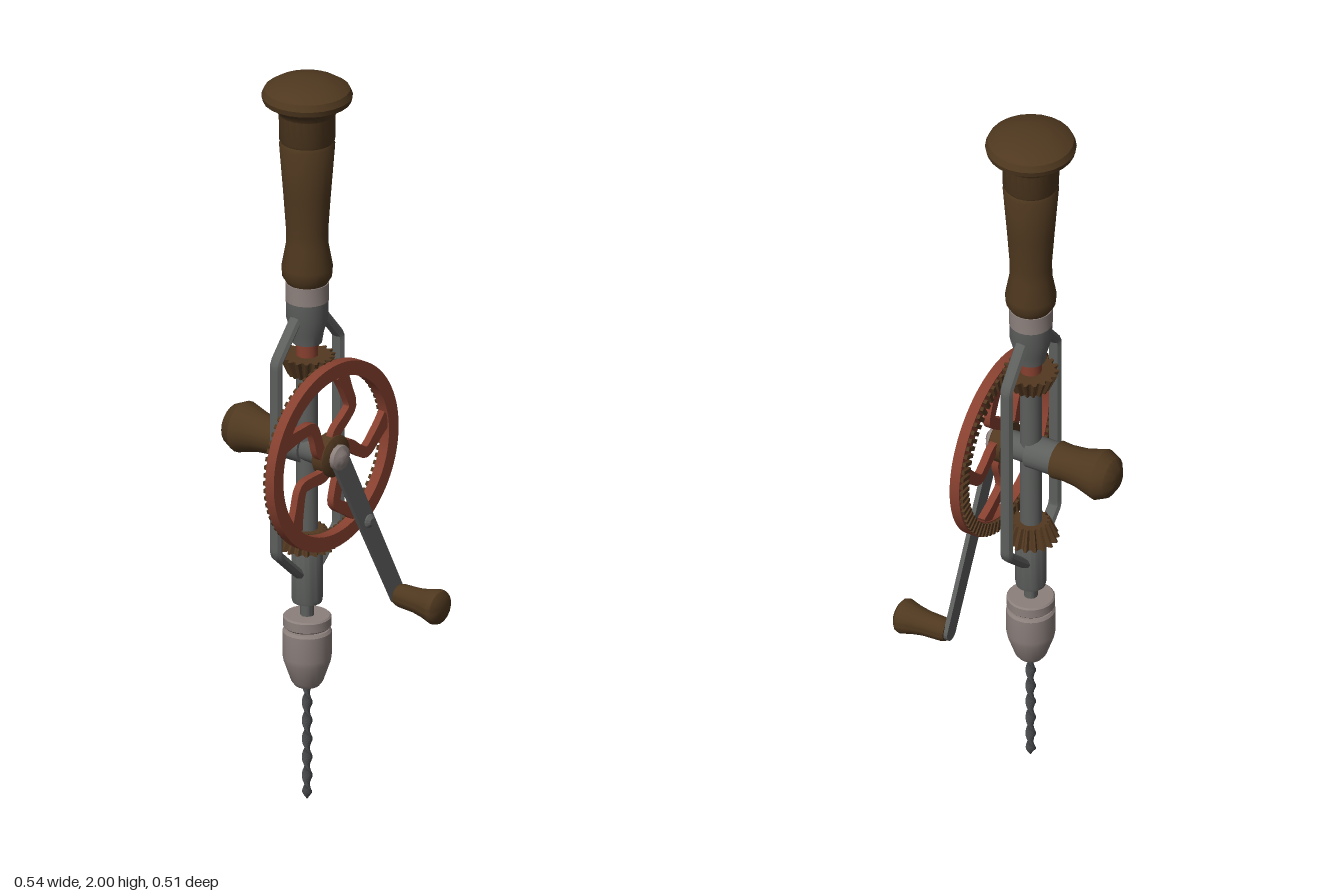
import * as THREE from 'three';
import { toCreasedNormals } from 'three/addons/utils/BufferGeometryUtils.js';

const material = (name, color) => {
  const m = new THREE.MeshStandardMaterial({ color });
  m.name = name;
  return m;
};
const V2 = (x, y) => new THREE.Vector2(x, y);

export function createModel() {
  const wood = material('dark wood', 0x4f381f);
  const steel = material('grey steel', 0x5d5f5d);
  const chrome = material('pale metal', 0x8c807c);
  const red = material('red paint', 0x87402f);
  const rust = material('rusty brown', 0x523820);
  const bitSteel = material('drill steel', 0x484a4c);

  const model = new THREE.Group();
  const AX = -0.016, WY = 0.976; // main axis x, wheel axle height

  const add = (name, geo, mat, x = 0, y = 0, z = 0) => {
    const mesh = new THREE.Mesh(toCreasedNormals(geo, 0.6), mat);
    mesh.name = name;
    mesh.position.set(x, y, z);
    model.add(mesh);
    return mesh;
  };
  // Lathe from [radius, height] pairs, listed bottom to top
  const lathe = (pts, segs = 24) => new THREE.LatheGeometry(pts.map(([r, h]) => V2(r, h)), segs);
  const upright = (name, pts, mat, segs) => add(name, lathe(pts, segs), mat, AX);
  // Lathe whose height runs along +z
  const forward = (name, pts, mat, x, y, segs) =>
    add(name, lathe(pts, segs).rotateX(Math.PI / 2), mat, x, y);

  // Main handle with mushroom cap
  upright('mainHandle', [[0, 1.435], [0.052, 1.435], [0.064, 1.455], [0.066, 1.48], [0.055, 1.54], [0.054, 1.58],
    [0.061, 1.68], [0.072, 1.82], [0.068, 1.83], [0, 1.83]], wood);
  upright('handleCap', [[0, 1.825], [0.066, 1.825], [0.072, 1.835], [0.073, 1.905], [0.085, 1.922], [0.113, 1.94],
    [0.117, 1.955], [0.11, 1.972], [0.085, 1.988], [0.045, 1.997], [0, 2]], wood);
  upright('ferrule', [[0, 1.388], [0.056, 1.388], [0.056, 1.437], [0, 1.437]], chrome);

  // Central body
  upright('upperSocket', [[0, 1.27], [0.038, 1.27], [0.043, 1.3], [0.054, 1.34], [0.055, 1.39], [0, 1.39]], steel);
  upright('upperShaft', [[0.028, 1.2], [0.028, 1.28]], red, 16);
  upright('mainShaft', [[0.028, 0.7], [0.028, 1.21]], steel, 16);
  upright('lowerSocket', [[0, 0.55], [0.038, 0.55], [0.04, 0.56], [0.04, 0.7], [0.03, 0.715], [0, 0.715]], steel);
  upright('spindle', [[0.018, 0.5], [0.018, 0.56]], steel, 12);

  // Bent side bars of the frame
  for (const s of [-1, 1]) {
    const corners = [[0.03, 1.36], [0.055, 1.335], [0.126, 1.25], [0.126, 0.72], [0.045, 0.645], [0.02, 0.625]];
    const path = new THREE.CurvePath();
    for (let i = 1; i < corners.length; i++) {
      const [a, b] = [corners[i - 1], corners[i]];
      path.add(new THREE.LineCurve3(new THREE.Vector3(s * a[0], a[1], 0), new THREE.Vector3(s * b[0], b[1], 0)));
    }
    add(s > 0 ? 'leftFrameBar' : 'rightFrameBar', new THREE.TubeGeometry(path, 60, 0.0135, 8).scale(1, 1, 1.35), steel, AX);
  }

  // Bevel pinions: cone frustums whose rim steps in and out
  const pinion = (name, rTop, rBottom, y) => {
    const teeth = 18;
    const geo = new THREE.CylinderGeometry(rTop, rBottom, 0.052, teeth * 4);
    const p = geo.attributes.position;
    for (let i = 0; i < p.count; i++) {
      const a = Math.atan2(p.getZ(i), p.getX(i)) / (2 * Math.PI) + 1;
      const k = Math.round(a * teeth * 4) % 4 < 2 ? 1 : 0.84;
      p.setX(i, p.getX(i) * k);
      p.setZ(i, p.getZ(i) * k);
    }
    add(name, geo, rust, AX, y);
  };
  pinion('upperPinion', 0.073, 0.05, 1.208);
  pinion('lowerPinion', 0.05, 0.073, 0.727);

  // Chuck
  upright('chuckRing', [[0, 0.48], [0.058, 0.48], [0.062, 0.484], [0.062, 0.508], [0.058, 0.512], [0, 0.512]], chrome);
  upright('chuckNeck', [[0.047, 0.46], [0.047, 0.485]], rust);
  upright('chuckBody', [[0, 0.318], [0.032, 0.318], [0.041, 0.33], [0.06, 0.385], [0.063, 0.4], [0.063, 0.468],
    [0.058, 0.475], [0, 0.475]], chrome);

  // Twisted drill bit with a pointed end
  const bit = new THREE.CylinderGeometry(0.014, 0.014, 0.33, 10, 60);
  const bp = bit.attributes.position;
  for (let i = 0; i < bp.count; i++) {
    const y = bp.getY(i) + 0.165;
    const tip = Math.min(1, 0.1 + y / 0.02);
    const x = bp.getX(i) * tip, z = bp.getZ(i) * 0.5 * tip, a = y * 62;
    bp.setXYZ(i, x * Math.cos(a) - z * Math.sin(a), y, x * Math.sin(a) + z * Math.cos(a));
  }
  bit.computeVertexNormals();
  add('drillBit', bit, bitSteel, AX);

  // Drive wheel rim
  const ring = new THREE.Shape().absarc(0, 0, 0.253, 0, Math.PI * 2);
  ring.holes.push(new THREE.Path().absarc(0, 0, 0.214, 0, Math.PI * 2, true));
  add('wheelRim', new THREE.ExtrudeGeometry(ring, { depth: 0.028, bevelEnabled: false, curveSegments: 48 }),
    red, AX, WY, 0.067);

  // Gear teeth on the back of the rim
  const toothCount = 72;
  for (let i = 0; i < toothCount; i++) {
    const geo = new THREE.BoxGeometry(0.034, 0.011, 0.012);
    geo.translate(0.233, 0, 0).rotateZ((i / toothCount) * Math.PI * 2);
    add('wheelTooth', geo, rust, AX, WY, 0.064);
  }

  // Five S-shaped spokes
  const bend = new THREE.CatmullRomCurve3([[0.03, 10], [0.06, 9], [0.1, -10], [0.135, -14], [0.175, 0], [0.22, 10]]
    .map(([r, deg]) => {
      const a = deg * Math.PI / 180;
      return new THREE.Vector3(r * Math.cos(a), r * Math.sin(a), 0);
    }));
  const sideA = [], sideB = [];
  for (let i = 0; i <= 20; i++) {
    const t = i / 20, c = bend.getPoint(t), d = bend.getTangent(t);
    const w = 0.015 + 0.008 * Math.pow(Math.abs(2 * t - 1), 3);
    sideA.push(V2(c.x + d.y * w, c.y - d.x * w));
    sideB.unshift(V2(c.x - d.y * w, c.y + d.x * w));
  }
  const spokeShape = new THREE.Shape([...sideA, ...sideB]);
  for (let i = 0; i < 5; i++) {
    const geo = new THREE.ExtrudeGeometry(spokeShape, { depth: 0.02, bevelEnabled: false });
    add('wheelSpoke', geo.rotateZ(i * Math.PI * 0.4), red, AX, WY, 0.071);
  }

  // Hub, axle and nut
  forward('wheelHub', [[0, 0.06], [0.056, 0.06], [0.056, 0.094], [0.05, 0.098], [0, 0.098]], rust, AX, WY);
  forward('axle', [[0.036, -0.02], [0.036, 0.07]], steel, AX, WY, 16);
  forward('axleNut', [[0, 0.1], [0.034, 0.1], [0.034, 0.113], [0.022, 0.118], [0.014, 0.124], [0, 0.125]], chrome, AX, WY, 12);

  // Crank arm: tapered bar with rounded ends
  const EX = 0.222, EY = 0.515;
  const len = Math.hypot(EX - AX, EY - WY);
  const armShape = new THREE.Shape();
  armShape.absarc(0, 0, 0.029, Math.PI / 2, Math.PI * 1.5);
  armShape.absarc(len, 0, 0.024, -Math.PI / 2, Math.PI / 2);
  const arm = new THREE.ExtrudeGeometry(armShape, { depth: 0.012, bevelEnabled: false });
  add('crankArm', arm.rotateZ(Math.atan2(EY - WY, EX - AX)), steel, AX, WY, 0.097);
  forward('crankScrew', [[0, 0.105], [0.018, 0.113], [0.018, 0.118], [0.01, 0.126], [0, 0.127]], steel, 0.094, 0.765, 12);

  // Crank knob and rear side handle
  forward('crankKnob', [[0, 0.108], [0.028, 0.108], [0.031, 0.12], [0.033, 0.17], [0.038, 0.2], [0.047, 0.232],
    [0.044, 0.243], [0.033, 0.251], [0, 0.254]], wood, EX, EY, 18);
  forward('sideHandleRod', [[0, -0.085], [0.044, -0.085], [0.044, 0.0], [0, 0.0]], steel, AX, WY, 16);
  forward('sideHandle', [[0, -0.256], [0.03, -0.253], [0.054, -0.238], [0.068, -0.208], [0.06, -0.18], [0.052, -0.15],
    [0.048, -0.11], [0.05, -0.078], [0, -0.075]], wood, AX, WY, 20);

  return model;
}
